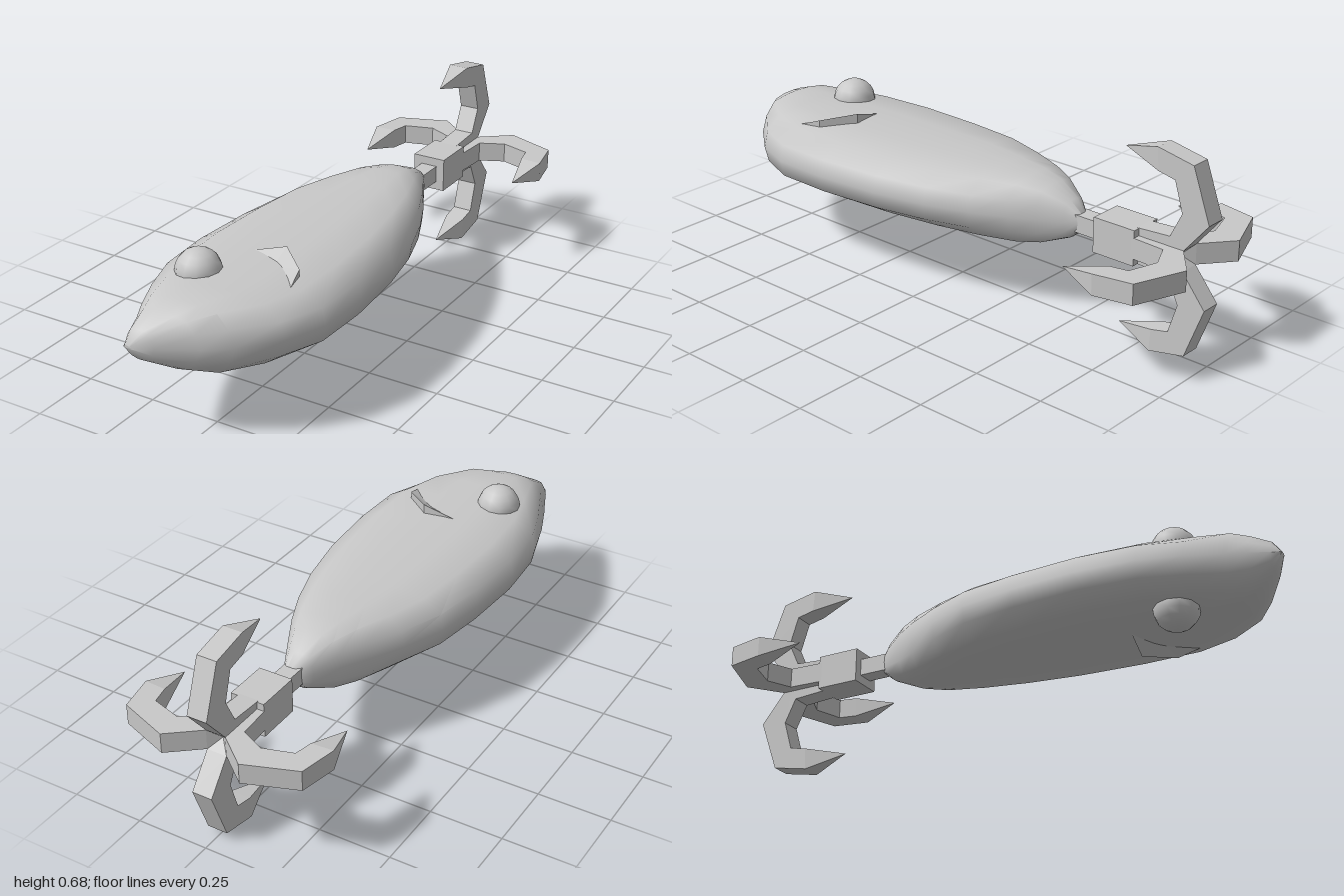
import * as THREE from 'three';
import { toCreasedNormals } from 'three/addons/utils/BufferGeometryUtils.js';

const MID = 0.343; // height of the centre plane

// Body sections: z, left edge x, right edge x, half height, edge sharpness
const SECTIONS = [
  [-0.51, -0.02, 0.03, 0.032, 0],
  [-0.47, -0.055, 0.05, 0.065, 0],
  [-0.39, -0.11, 0.092, 0.1, 0],
  [-0.31, -0.158, 0.135, 0.112, 0],
  [-0.19, -0.222, 0.19, 0.113, 0],
  [-0.04, -0.283, 0.24, 0.113, 0],
  [0.15, -0.312, 0.278, 0.113, 0],
  [0.38, -0.326, 0.298, 0.113, 0],
  [0.58, -0.31, 0.292, 0.113, 0],
  [0.72, -0.268, 0.24, 0.113, 0.2],
  [0.84, -0.22, 0.14, 0.112, 0.6],
  [0.9, -0.193, 0.06, 0.09, 1],
  [0.965, -0.165, -0.06, 0.05, 1],
  [0.995, -0.15, -0.12, 0.006, 1],
];

function bodyGeometry() {
  const pos = [], index = [];
  const n = 16;
  for (const [z, x0, x1, h, sharp] of SECTIONS) {
    const s = 1 - 0.13 * sharp;
    const quarter = [[1, 0], [0.96 * s, 0.5], [0.72 * s, 0.88], [0.3, 0.98]];
    const ring = [
      ...quarter, [0, 1],
      ...quarter.slice(1).reverse().map(([u, v]) => [-u, v]), [-1, 0],
      ...quarter.slice(1).map(([u, v]) => [-u, -v]), [0, -1],
      ...quarter.slice(1).reverse().map(([u, v]) => [u, -v]),
    ];
    for (const [u, v] of ring) pos.push((x0 + x1) / 2 + u * (x1 - x0) / 2, MID + v * h, z);
  }
  for (let i = 0; i < SECTIONS.length - 1; i++) {
    for (let j = 0; j < n; j++) {
      const a = i * n + j, b = i * n + (j + 1) % n;
      index.push(a, b, a + n, b, b + n, a + n);
    }
  }
  // end caps
  const last = (SECTIONS.length - 1) * n;
  for (let j = 1; j < n - 1; j++) {
    index.push(0, j + 1, j, last, last + j, last + j + 1);
  }
  const g = new THREE.BufferGeometry();
  g.setAttribute('position', new THREE.Float32BufferAttribute(pos, 3));
  g.setIndex(index);
  return toCreasedNormals(g, 0.9);
}

// Curved hook in the (radius, z) plane; its tip narrows to a point
function hookGeometry() {
  const outline = [
    [0, -0.74], [0.06, -0.74], [0.068, -0.863], [0.152, -0.903], [0.253, -0.872],
    [0.266, -0.81], [0.3, -0.663], [0.342, -0.805], [0.316, -0.935],
    [0.14, -1], [0.035, -0.915], [0, -0.88],
  ].map(([r, z]) => new THREE.Vector2(r, z));
  const width = 0.07;
  const g = new THREE.ExtrudeGeometry(new THREE.Shape(outline), { depth: width, bevelEnabled: false });
  g.translate(0, 0, -width / 2);
  const p = g.attributes.position;
  for (let i = 0; i < p.count; i++) {
    if (p.getX(i) > 0.2 && p.getY(i) > -0.7) p.setZ(i, 0);
  }
  g.rotateX(Math.PI / 2);
  g.computeVertexNormals();
  return g;
}

// Crescent fin: raised outer ridge, sloping inwards to the body
function finGeometry() {
  const ridge = [[-0.09, 0.1, 0.455], [0.06, 0.145, 0.435], [0.16, 0.128, 0.52], [0.185, 0.085, 0.64]];
  const inner = [[-0.09, 0.1, 0.455], [0.05, 0.1, 0.5], [0.12, 0.095, 0.56], [0.185, 0.085, 0.64]];
  const foot = ridge.map(([x, , z]) => [x, 0.085, z]);
  const pos = [];
  const strip = (a, b) => {
    for (let i = 0; i < 3; i++) pos.push(...a[i], ...b[i], ...a[i + 1], ...b[i], ...b[i + 1], ...a[i + 1]);
  };
  strip(ridge, inner);
  strip(foot, ridge);
  const g = new THREE.BufferGeometry();
  g.setAttribute('position', new THREE.Float32BufferAttribute(pos, 3));
  g.computeVertexNormals();
  return g;
}

export function createModel() {
  const model = new THREE.Group();
  model.name = 'fishingLure';
  const grey = new THREE.MeshStandardMaterial({ color: 0xc8c8c8 });
  grey.name = 'grey';
  grey.side = THREE.DoubleSide;

  const add = (name, geometry, x = 0, y = 0, z = 0) => {
    const mesh = new THREE.Mesh(geometry, grey);
    mesh.name = name;
    mesh.position.set(x, y, z);
    model.add(mesh);
    return mesh;
  };

  add('body', bodyGeometry());

  // eye and fin on both flat faces
  const eye = new THREE.SphereGeometry(0.076, 12, 10);
  const fin = finGeometry();
  for (const side of [1, -1]) {
    const label = side > 0 ? 'upper' : 'lower';
    add(label + 'Eye', eye, -0.13, MID + side * 0.101, 0.64);
    const g = fin.clone();
    if (side < 0) {
      g.scale(1, -1, 1);
      // restore corner order after mirroring
      const p = g.attributes.position;
      const b = new THREE.Vector3(), c = new THREE.Vector3();
      for (let i = 0; i < p.count; i += 3) {
        b.fromBufferAttribute(p, i + 1);
        c.fromBufferAttribute(p, i + 2);
        p.setXYZ(i + 1, c.x, c.y, c.z);
        p.setXYZ(i + 2, b.x, b.y, b.z);
      }
      g.computeVertexNormals();
    }
    add(label + 'Fin', g, 0, MID, 0);
  }

  // connector behind the tail
  add('tailPost', new THREE.BoxGeometry(0.06, 0.06, 0.14), 0, MID, -0.54);
  add('hookBlock', new THREE.BoxGeometry(0.12, 0.12, 0.155), 0, MID, -0.6725);

  // four hooks around the axis
  const hook = hookGeometry();
  ['left', 'upper', 'right', 'lower'].forEach((side, k) => {
    add(side + 'Hook', hook, 0, MID, 0).rotation.z = k * Math.PI / 2;
  });
  return model;
}
